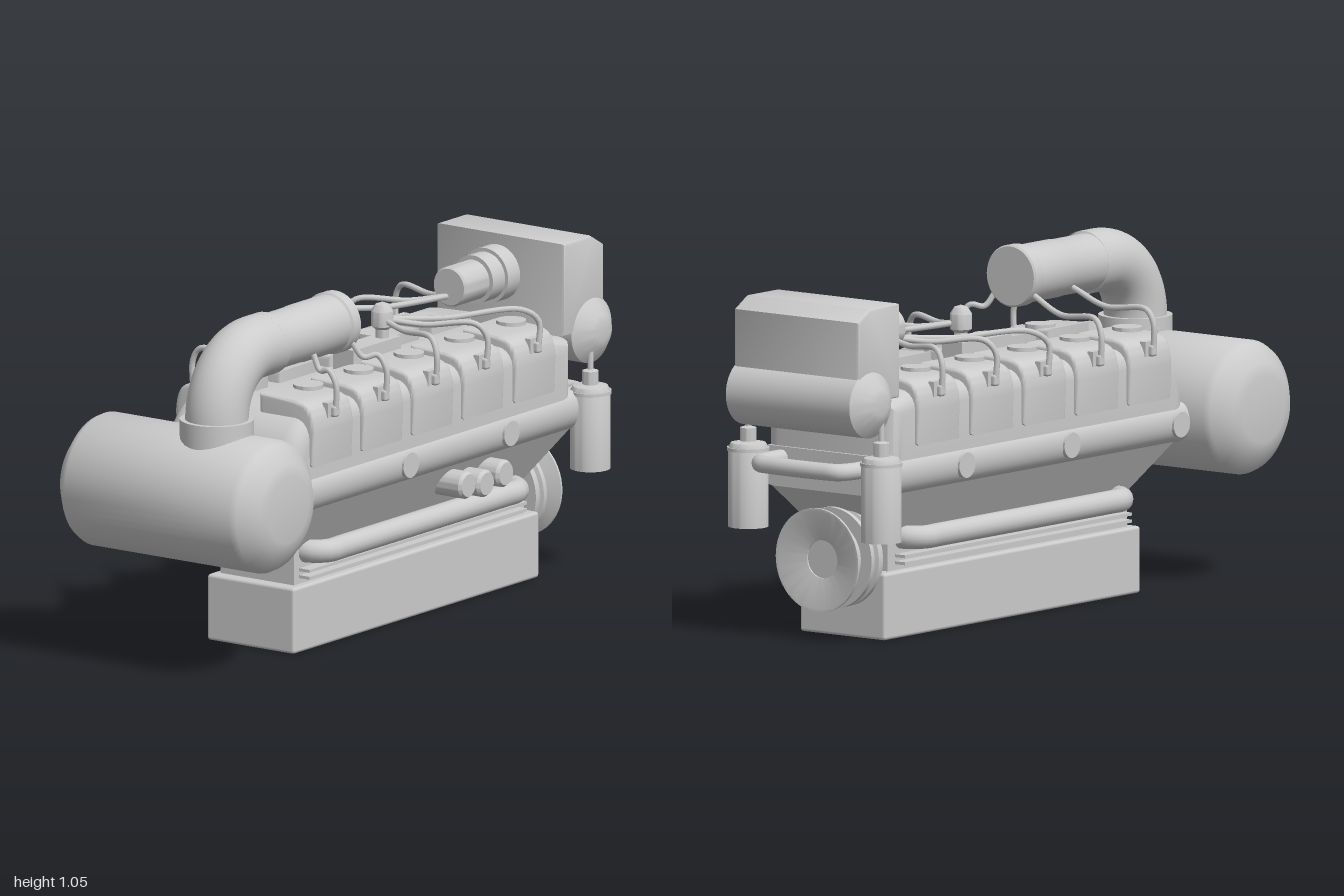
import * as THREE from 'three';
import { toCreasedNormals } from 'three/addons/utils/BufferGeometryUtils.js';
import { RoundedBoxGeometry } from 'three/addons/geometries/RoundedBoxGeometry.js';

const grey = new THREE.MeshStandardMaterial({ color: 0xcccccc, side: THREE.DoubleSide });
const V = (x, y, z) => new THREE.Vector3(x, y, z);

export function createModel() {
  const model = new THREE.Group();

  function add(name, geometry, x = 0, y = 0, z = 0) {
    const mesh = new THREE.Mesh(geometry, grey);
    mesh.name = name;
    mesh.position.set(x, y, z);
    model.add(mesh);
    return mesh;
  }
  // Revolved profile of [radius, distance] pairs, along the chosen axis
  function lathe(profile, axis = 'y', sides = 40) {
    const g = new THREE.LatheGeometry(profile.map(([r, t]) => new THREE.Vector2(r, t)), sides);
    if (axis === 'x') g.rotateZ(-Math.PI / 2);
    if (axis === 'z') g.rotateX(Math.PI / 2);
    return toCreasedNormals(g, 0.6);
  }
  const disc = (r, a, b, axis, sides = 32) => lathe([[0, a], [r, a], [r, b], [0, b]], axis, sides);
  // Side outline (x, y) extruded across z, with rounded long edges
  function across(shape, halfWidth, bevel, segments = 5) {
    const g = new THREE.ExtrudeGeometry(shape, {
      depth: 2 * (halfWidth - bevel), bevelEnabled: true, bevelSize: bevel, bevelThickness: bevel,
      bevelOffset: -bevel, bevelSegments: segments, curveSegments: 12,
    });
    g.translate(0, 0, bevel - halfWidth);
    return toCreasedNormals(g, 0.6);
  }
  // Cross-section (z, y) extruded along x
  function along(shape, x0, x1) {
    const g = new THREE.ExtrudeGeometry(shape, { depth: x1 - x0, bevelEnabled: false, curveSegments: 12 });
    g.rotateY(Math.PI / 2).translate(x0, 0, 0);
    return toCreasedNormals(g, 0.6);
  }
  const polygon = (pts) => new THREE.Shape(pts.map(([x, y]) => new THREE.Vector2(x, y)));
  const tube = (pts, r, n = 40, sides = 16) =>
    new THREE.TubeGeometry(new THREE.CatmullRomCurve3(pts, false, 'centripetal'), n, r, sides);

  // Oil pan and skirt
  add('oilPan', new RoundedBoxGeometry(1.22, 0.2, 0.32, 2, 0.01), 0.13, 0.1, 0);
  add('skirt', new THREE.BoxGeometry(1.14, 0.14, 0.27), 0.125, 0.26, 0);
  for (const y of [0.222, 0.243]) add('skirtFlange', new THREE.BoxGeometry(1.08, 0.009, 0.345), 0.12, y, 0);

  // Tapered crankcase: a box narrowed toward its base
  const taper = new THREE.BoxGeometry(1.38, 0.15, 0.44);
  const p = taper.attributes.position;
  for (let i = 0; i < p.count; i++) {
    if (p.getY(i) < 0) p.setXYZ(i, p.getX(i) * 0.82, p.getY(i), p.getZ(i) * 0.6);
  }
  taper.computeVertexNormals();
  add('crankcase', taper, 0.125, 0.375, 0);

  // Rounded side rail around the block
  const rail = new THREE.Shape();
  rail.moveTo(-0.2, 0.44);
  rail.lineTo(0.2, 0.44);
  rail.bezierCurveTo(0.265, 0.45, 0.265, 0.55, 0.22, 0.56);
  rail.lineTo(-0.22, 0.56);
  rail.bezierCurveTo(-0.265, 0.55, -0.265, 0.45, -0.2, 0.44);
  add('sideRail', along(rail, -0.6, 0.82));

  // Upper block with rounded rear end
  const head = new THREE.Shape();
  head.moveTo(-0.6, 0.45);
  head.lineTo(-0.6, 0.56);
  head.bezierCurveTo(-0.6, 0.67, -0.53, 0.75, -0.42, 0.75);
  head.lineTo(0.69, 0.75);
  head.lineTo(0.81, 0.72);
  head.lineTo(0.81, 0.45);
  add('upperBlock', across(head, 0.24, 0.055));

  // Rocker covers, lids, plugs and rail bosses, mirrored on both sides
  const coverX = [-0.41, -0.16, 0.09, 0.34, 0.597];
  for (const s of [1, -1]) {
    for (const x of coverX) {
      const c = new THREE.Shape();
      c.moveTo(0.055 * s, 0.585);
      c.lineTo(0.25 * s, 0.585);
      c.lineTo(0.255 * s, 0.69);
      c.bezierCurveTo(0.25 * s, 0.755, 0.235 * s, 0.775, 0.18 * s, 0.78);
      c.lineTo(0.055 * s, 0.785);
      const g = new THREE.ExtrudeGeometry(c, {
        depth: 0.18, bevelSize: 0.012, bevelOffset: -0.012, bevelThickness: 0.01, bevelSegments: 3,
      });
      g.rotateY(-Math.PI / 2).translate(0.09, 0, 0);
      add('rockerCover', toCreasedNormals(g, 0.6), x, 0, 0);
      add('coverLid', disc(0.045, 0.77, 0.793), x + 0.055 * s, 0, 0.12 * s);
      add('plugPlate', new THREE.BoxGeometry(0.055, 0.045, 0.02), x, 0.745, 0.243 * s);
      add('plugBoot', new RoundedBoxGeometry(0.026, 0.035, 0.03, 2, 0.008), x, 0.74, 0.254 * s);
    }
    for (const x of [-0.55, -0.03, 0.47]) add('railBoss', disc(0.038, -0.02, 0.02, 'z'), x, 0.502, 0.238 * s);

    // Coolant pipe bending into the crankcase at both ends
    add('coolantPipe', tube([V(-0.385, 0.295, 0.08 * s), V(-0.385, 0.295, 0.15 * s), V(-0.35, 0.295, 0.188 * s),
      V(-0.28, 0.295, 0.19 * s), V(0.52, 0.295, 0.19 * s), V(0.59, 0.295, 0.188 * s),
      V(0.625, 0.295, 0.15 * s), V(0.625, 0.295, 0.08 * s)], 0.035, 60));

    // Filter canister with neck and feed pipe
    add('filterCanister', lathe([[0, 0.32], [0.06, 0.32], [0.06, 0.555], [0.052, 0.57], [0.024, 0.575],
      [0.024, 0.615], [0.009, 0.62], [0.009, 0.72], [0, 0.72]]), 0.87, 0, 0.25 * s);
    add('canisterBand', disc(0.063, 0.547, 0.557), 0.87, 0, 0.25 * s);
  }

  // Three round ports on the front side
  for (const [x, y] of [[0.24, 0.39], [0.33, 0.378], [0.425, 0.39]]) {
    add('sidePort', lathe([[0, 0.1], [0.041, 0.1], [0.041, 0.26], [0.034, 0.27], [0, 0.27]], 'z'), x, y, 0);
  }

  // Crossover pipe on the drive end
  add('crossoverPipe', tube([V(0.78, 0.525, 0.165), V(0.9, 0.525, 0.165), V(0.945, 0.525, 0.145),
    V(0.955, 0.525, 0.09), V(0.955, 0.525, -0.09), V(0.945, 0.525, -0.145), V(0.9, 0.525, -0.165),
    V(0.78, 0.525, -0.165)], 0.026, 60));

  // Crank pulley with dished outer face
  add('crankPulley', lathe([[0, 0.66], [0.09, 0.66], [0.09, 0.735], [0.15, 0.735], [0.15, 0.755], [0.12, 0.765],
    [0.15, 0.775], [0.15, 0.79], [0.11, 0.79], [0.11, 0.835], [0.155, 0.853], [0.155, 0.86],
    [0.145, 0.86], [0.057, 0.835], [0.057, 0.83], [0, 0.83]], 'x', 56), 0, 0.24, 0);

  // Exhaust drum, neck, elbow and outlet barrel
  add('exhaustDrum', lathe([[0, -0.372], [0.1, -0.372], [0.135, -0.365], [0.19, -0.32], [0.2, -0.3], [0.2, 0.3],
    [0.19, 0.32], [0.135, 0.365], [0.1, 0.372], [0, 0.372]], 'z', 56), -0.795, 0.53, 0);
  add('drumNeck', disc(0.11, 0.66, 0.77), -0.795, 0, 0.11);
  const elbow = new THREE.CurvePath();
  elbow.add(new THREE.LineCurve3(V(-0.795, 0.7, 0.11), V(-0.795, 0.76, 0.11)));
  elbow.add(new THREE.CubicBezierCurve3(V(-0.795, 0.76, 0.11), V(-0.795, 0.87, 0.11),
    V(-0.72, 0.952, 0.11), V(-0.61, 0.952, 0.11)));
  elbow.add(new THREE.LineCurve3(V(-0.61, 0.952, 0.11), V(-0.55, 0.952, 0.11)));
  add('exhaustElbow', new THREE.TubeGeometry(elbow, 48, 0.094, 36));
  add('outletBarrel', lathe([[0, -0.58], [0.088, -0.58], [0.088, -0.575], [0.094, -0.575], [0.094, -0.565],
    [0.085, -0.56], [0.085, -0.405], [0.087, -0.4], [0.087, -0.245], [0.093, -0.24], [0.093, -0.205],
    [0.088, -0.2], [0, -0.2]], 'x'), 0, 0.952, 0.11);

  // Air box with chamfered top edge, and the round cooler drum below it
  add('airBox', across(polygon([[0.76, 0.735], [0.96, 0.735], [0.96, 0.98], [0.9, 1.015], [0.76, 1.015]]), 0.235, 0.01, 2));
  add('coolerDrum', lathe([[0, -0.275], [0.03, -0.275], [0.05, -0.27], [0.1, -0.232], [0.1, 0.232],
    [0.05, 0.27], [0.03, 0.275], [0, 0.275]], 'z'), 0.9, 0.73, 0);
  add('intakeDuct', lathe([[0, 0.52], [0.055, 0.52], [0.06, 0.526], [0.06, 0.64], [0.073, 0.64], [0.073, 0.7],
    [0.084, 0.7], [0.084, 0.77], [0, 0.77]], 'x'), 0, 0.898, -0.01);

  // Distributor on its base
  add('distributorBase', new THREE.BoxGeometry(0.235, 0.08, 0.075), 0.1, 0.775, 0);
  add('distributor', lathe([[0, 0.8], [0.02, 0.8], [0.02, 0.84], [0.033, 0.85], [0.033, 0.895],
    [0.02, 0.915], [0, 0.922]], 'y', 24), 0.175, 0, 0);

  // Ignition leads: rise from each plug, loop over the cover and run to their target
  function lead(x, s, target) {
    const start = V(x, 0.745, 0.262 * s);
    const rise = V(x, 0.82, 0.262 * s);
    const top = V(x, 0.86, 0.235 * s).lerp(V(target.x, 0.86, 0.235 * s), 0.12);
    const mid = top.clone().lerp(target, 0.55);
    mid.y = Math.min(top.y, target.y) - 0.005;
    add('ignitionLead', tube([start, rise, top, mid, target], 0.009, 32, 8));
  }
  for (const x of coverX.slice(2)) {
    lead(x, 1, V(0.175, 0.87, 0));
    lead(x, -1, V(0.54, 0.87, -0.01));
  }
  for (const s of [1, -1]) {
    lead(-0.41, s, V(-0.41, 0.9, 0.11 + 0.07 * s));
    lead(-0.16, s, V(-0.22, 0.9, 0.11 + 0.07 * s));
  }
  return model;
}
